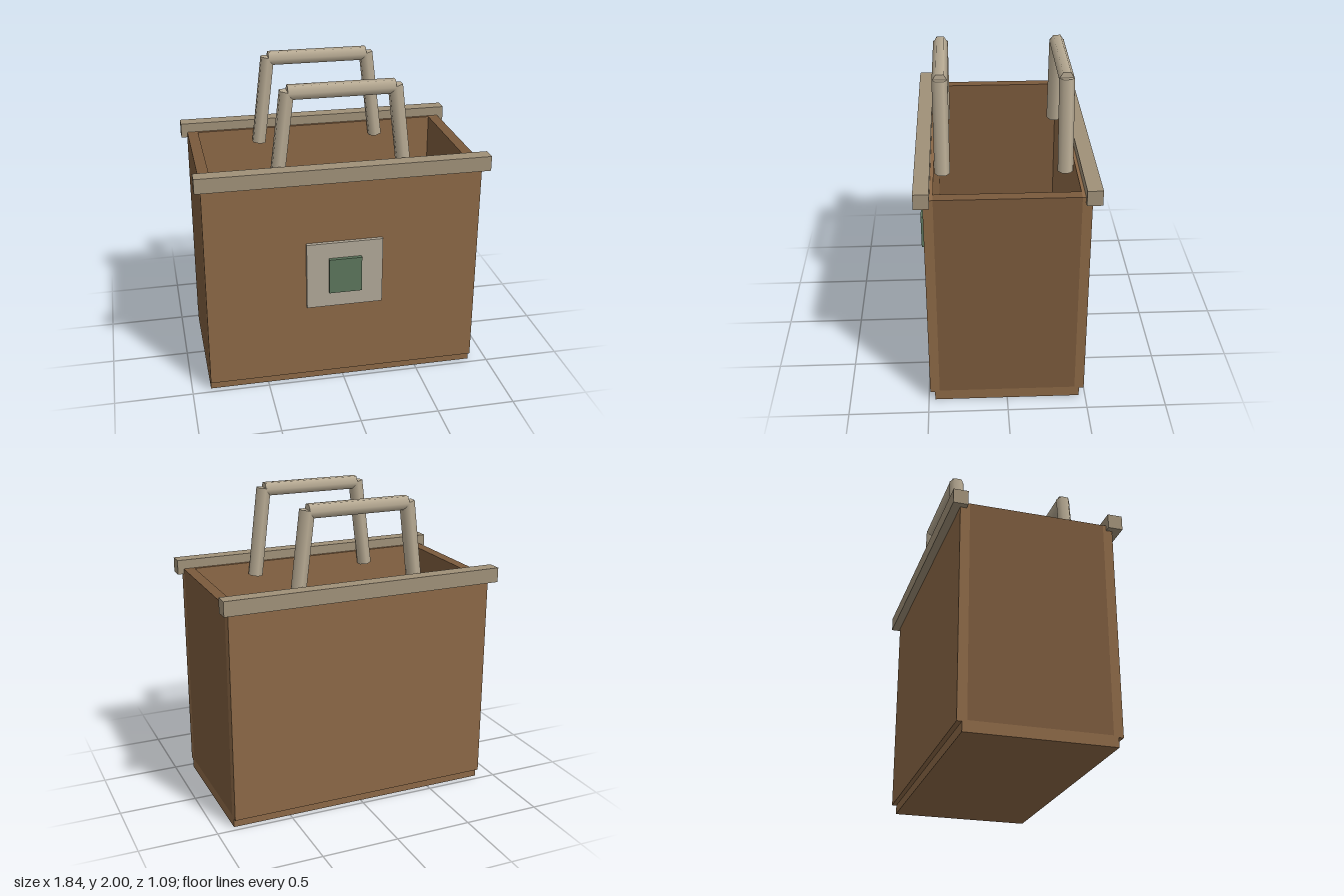
import * as THREE from 'three';

const mat = (color) => new THREE.MeshStandardMaterial({ color });

export function createModel() {
  const bag = new THREE.Group();
  bag.name = 'toteBag';

  const brown = mat(0x8b6846);
  const darkBrown = mat(0x7a5a3c);
  const trim = mat(0x9f9078);
  const tan = mat(0xb8ab94);
  const cream = mat(0xb0a797);
  const green = mat(0x5c755c);

  // Box given by its lower and upper corner
  const box = (name, material, [x0, y0, z0], [x1, y1, z1]) => {
    const mesh = new THREE.Mesh(new THREE.BoxGeometry(x1 - x0, y1 - y0, z1 - z0), material);
    mesh.position.set((x0 + x1) / 2, (y0 + y1) / 2, (z0 + z1) / 2);
    mesh.name = name;
    bag.add(mesh);
  };

  // Six-sided rod between two points in the handle's plane
  const rod = (name, a, b) => {
    const from = new THREE.Vector3(...a);
    const to = new THREE.Vector3(...b);
    const dir = to.clone().sub(from);
    const mesh = new THREE.Mesh(new THREE.CylinderGeometry(0.048, 0.048, dir.length(), 6), tan);
    mesh.position.copy(from).add(to).multiplyScalar(0.5);
    mesh.rotation.z = Math.atan2(-dir.x, dir.y);
    mesh.name = name;
    return mesh;
  };

  // Bottom and the two narrow sides
  box('base', brown, [-0.88, 0, -0.46], [0.88, 0.07, 0.46]);
  box('leftSide', darkBrown, [0.81, 0.07, -0.43], [0.88, 1.455, 0.43]);
  box('rightSide', darkBrown, [-0.88, 0.07, -0.43], [-0.81, 1.455, 0.43]);

  // Broad panel, rim strip and handle, front and back
  for (const [side, s] of [['front', 1], ['back', -1]]) {
    const span = (a, b) => (s > 0 ? [a, b] : [-b, -a]);
    const [p0, p1] = span(0.43, 0.49);
    box(side + 'Panel', brown, [-0.88, 0.06, p0], [0.88, 1.455, p1]);
    const [r0, r1] = span(0.45, 0.543);
    box(side + 'Rim', trim, [-0.92, 1.42, r0], [0.92, 1.515, r1]);

    const handle = new THREE.Group();
    handle.name = side + 'Handle';
    handle.position.z = s * 0.38;
    handle.add(
      rod('handleLeftLeg', [0.405, 1.38, 0], [0.333, 1.967, 0]),
      rod('handleRightLeg', [-0.405, 1.38, 0], [-0.333, 1.967, 0]),
      rod('handleGrip', [0.33, 1.958, 0], [-0.33, 1.958, 0])
    );
    bag.add(handle);
  }

  // Square patch on the front
  box('patch', cream, [-0.245, 0.56, 0.485], [0.245, 1.005, 0.515]);
  box('patchCentre', green, [-0.105, 0.665, 0.51], [0.105, 0.9, 0.54]);

  return bag;
}
